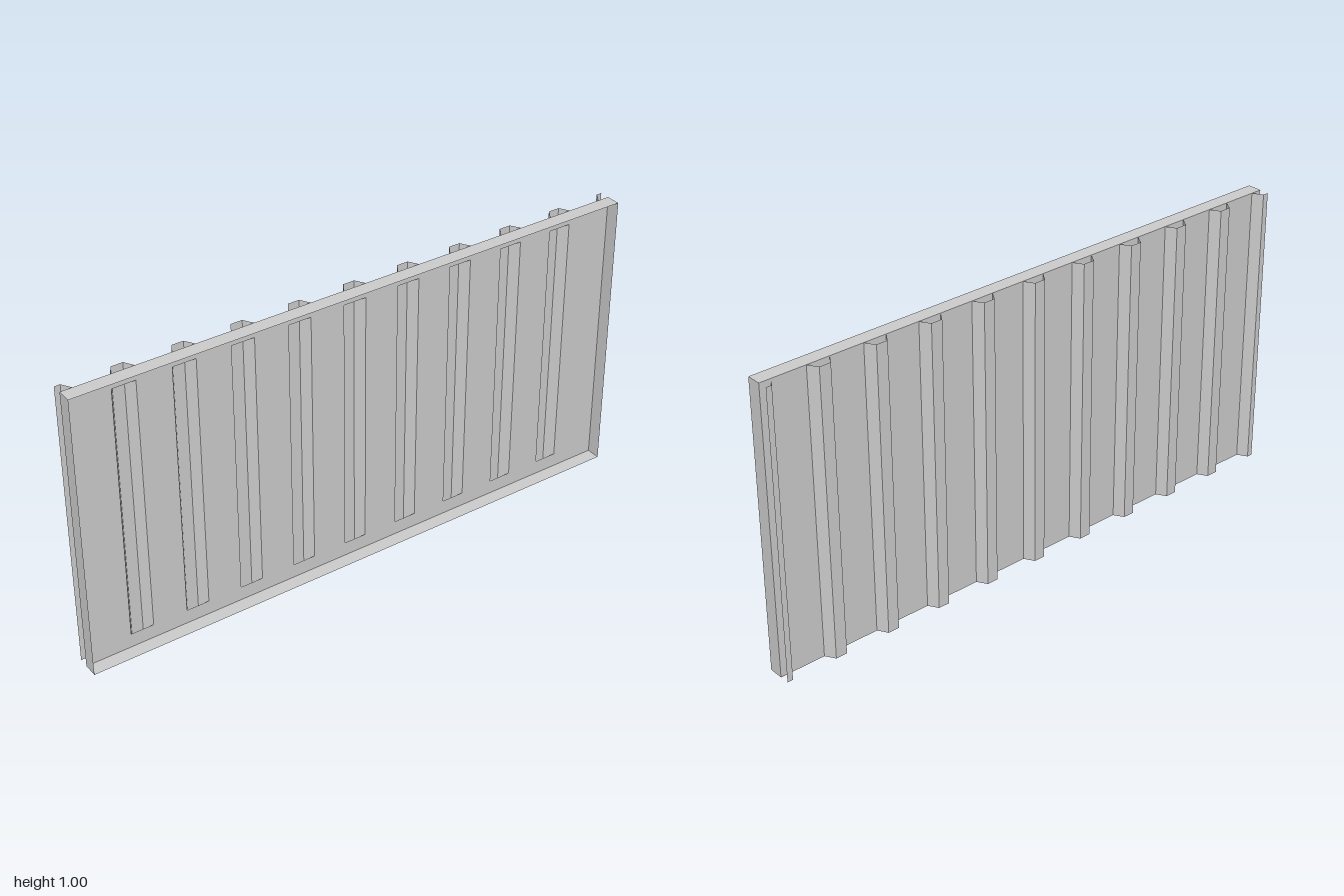
import * as THREE from 'three';

const FRONT = 0.0417, BACK = -0.0083, RIB = -0.0417; // depths along x
const LIP = 0.05;                                    // width of the frame's inner lip

const material = new THREE.MeshStandardMaterial({
  color: 0xcccccc, flatShading: true, side: THREE.DoubleSide,
});

function addMesh(parent, name, geometry) {
  const mesh = new THREE.Mesh(geometry, material);
  mesh.name = name;
  parent.add(mesh);
  return mesh;
}

// Thin sheet: a profile of [x, z] points running toward -z, raised from y = 0 to y = 1
function foldedSheet(profile) {
  const positions = [];
  for (let i = 0; i < profile.length - 1; i++) {
    const [x0, z0] = profile[i], [x1, z1] = profile[i + 1];
    positions.push(x0, 0, z0, x1, 0, z1, x1, 1, z1, x0, 0, z0, x1, 1, z1, x0, 1, z0);
  }
  const geometry = new THREE.BufferGeometry();
  geometry.setAttribute('position', new THREE.Float32BufferAttribute(positions, 3));
  geometry.computeVertexNormals();
  return geometry;
}

export function createModel() {
  const group = new THREE.Group();
  group.name = 'corrugatedWallPanel';

  // Corrugated sheet: a trapezoid rib every 0.2, cut in half at both ends
  const profile = [];
  for (let i = 0; i <= 10; i++) {
    const z = 1 - i * 0.2;
    const rib = [[BACK, z + 0.04], [RIB, z + 0.02], [RIB, z - 0.02], [BACK, z - 0.04]];
    if (i === 0) profile.push([RIB, z], ...rib.slice(2));
    else if (i === 10) profile.push(...rib.slice(0, 2), [RIB, z]);
    else profile.push(...rib);
  }
  addMesh(group, 'corrugatedSheet', foldedSheet(profile));

  // Angle frame: thin flanges round the edge
  const frame = new THREE.Group();
  frame.name = 'frame';
  group.add(frame);
  const depth = FRONT - BACK, middle = (FRONT + BACK) / 2;
  for (const s of [1, -1]) {
    const rail = addMesh(frame, s > 0 ? 'topFlange' : 'bottomFlange', new THREE.PlaneGeometry(depth, 2));
    rail.rotation.x = -s * Math.PI / 2;
    rail.position.set(middle, s > 0 ? 1 : 0, 0);

    const end = addMesh(frame, s > 0 ? 'frontFlange' : 'backFlange', new THREE.PlaneGeometry(depth, 1));
    end.rotation.y = s > 0 ? 0 : Math.PI;
    end.position.set(middle, 0.5, s);
  }

  // Flat lip lying against the sheet, open in the middle
  const rectangle = (path, w, h) =>
    path.moveTo(-w, -h).lineTo(w, -h).lineTo(w, h).lineTo(-w, h).closePath();
  const outline = rectangle(new THREE.Shape(), 1, 0.5);
  outline.holes.push(rectangle(new THREE.Path(), 1 - LIP, 0.5 - LIP));
  const lip = addMesh(frame, 'lip', new THREE.ShapeGeometry(outline));
  lip.rotation.y = Math.PI / 2;
  lip.position.set(BACK + 0.001, 0.5, 0);

  return group;
}
